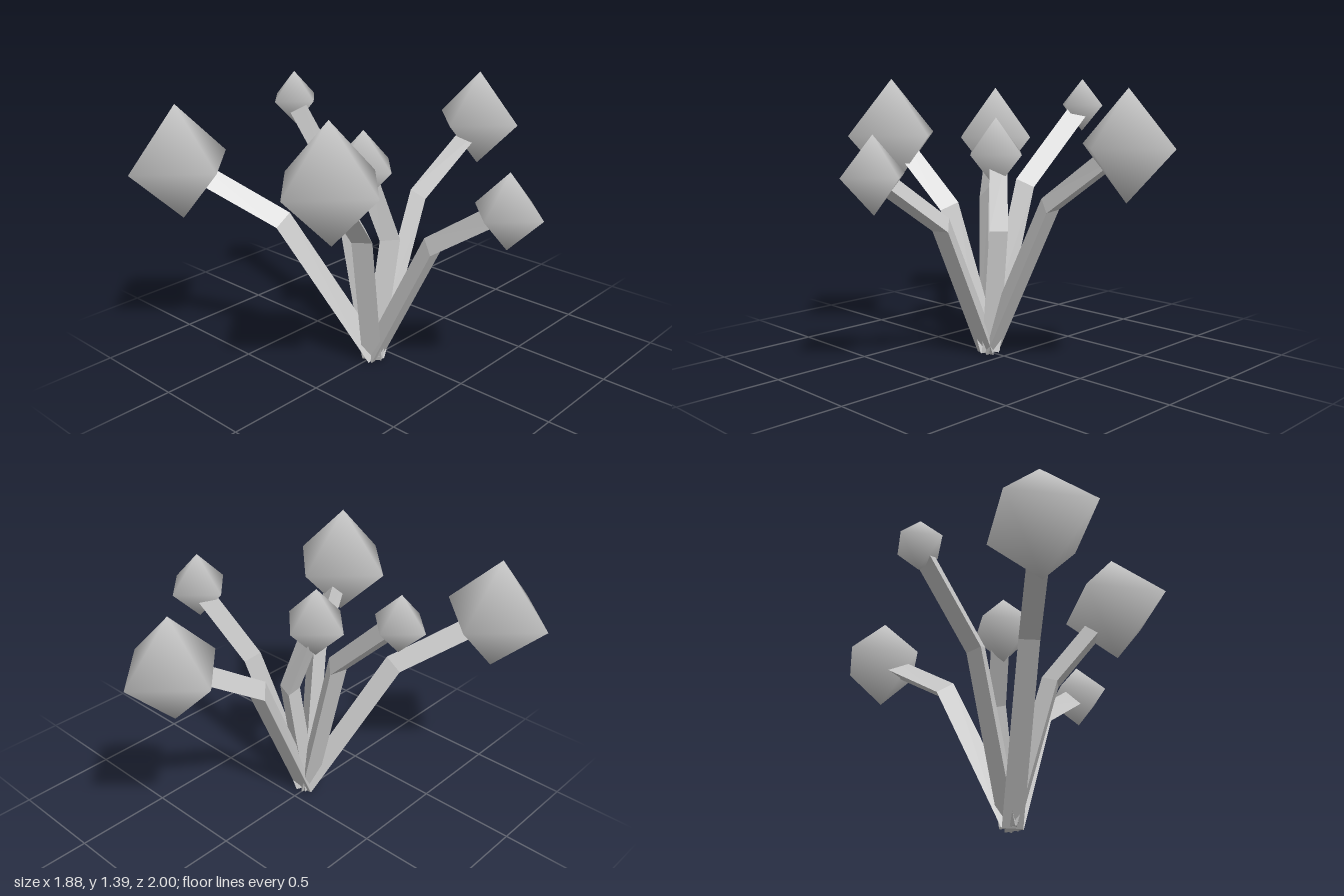
import * as THREE from 'three';

const SIDES = 3;
const STEM_RADIUS = 0.058;
const BASE = [0.01, 0.018, 0.1];

// One entry per branch: knee of the stem, centre and radius of the head
const BRANCHES = [
  { name: 'frontRight', knee: [-0.30, 0.77, 0.41], head: [-0.66, 1.06, 0.715], r: 0.28 },
  { name: 'frontLeft', knee: [0.115, 0.75, 0.28], head: [0.22, 1.113, 0.59], r: 0.28 },
  { name: 'back', knee: [-0.03, 0.79, -0.27], head: [0.005, 1.107, -0.75], r: 0.25 },
  { name: 'left', knee: [0.35, 0.70, 0.06], head: [0.76, 0.978, 0.055], r: 0.178 },
  { name: 'right', knee: [-0.21, 0.86, 0.06], head: [-0.608, 1.255, 0.01], r: 0.137 },
  { name: 'middle', knee: [0.045, 0.65, 0.01], head: [-0.045, 1.025, 0.1], r: 0.178 },
];

// Three-sided bent stem, ridge on its upper side
function stemGeometry(points) {
  const dirs = points.slice(1).map((p, i) => p.clone().sub(points[i]).normalize());
  const up = new THREE.Vector3(0, 1, 0);
  const ridge0 = up.clone().projectOnPlane(dirs[0]).normalize();
  const positions = [];
  points.forEach((p, i) => {
    const before = dirs[Math.max(i - 1, 0)];
    const after = dirs[Math.min(i, dirs.length - 1)];
    const t = before.clone().add(after).normalize();
    const ridge = ridge0.clone().projectOnPlane(t).normalize();
    const side = t.clone().cross(ridge);
    for (let k = 0; k < SIDES; k++) {
      const a = (k / SIDES) * Math.PI * 2;
      const v = p.clone()
        .addScaledVector(ridge, STEM_RADIUS * Math.cos(a))
        .addScaledVector(side, STEM_RADIUS * Math.sin(a));
      positions.push(v.x, Math.max(v.y, 0), v.z);
    }
  });
  const index = [0, 2, 1];
  for (let i = 0; i < points.length - 1; i++) {
    for (let k = 0; k < SIDES; k++) {
      const a = i * SIDES + k;
      const b = i * SIDES + ((k + 1) % SIDES);
      index.push(a, b, b + SIDES, a, b + SIDES, a + SIDES);
    }
  }
  const e = (points.length - 1) * SIDES;
  index.push(e, e + 1, e + 2);
  const indexed = new THREE.BufferGeometry();
  indexed.setAttribute('position', new THREE.Float32BufferAttribute(positions, 3));
  indexed.setIndex(index);
  const geometry = indexed.toNonIndexed();
  geometry.computeVertexNormals();
  return geometry;
}

export function createModel() {
  const model = new THREE.Group();
  model.name = 'branchingPlant';
  const stemMaterial = new THREE.MeshStandardMaterial({ color: 0xcccccc, flatShading: true });
  const headMaterial = new THREE.MeshStandardMaterial({ color: 0xcccccc });

  for (const { name, knee, head, r } of BRANCHES) {
    const branch = new THREE.Group();
    branch.name = name + 'Branch';

    const path = [BASE, knee, head].map((p) => new THREE.Vector3(...p));
    const stem = new THREE.Mesh(stemGeometry(path), stemMaterial);
    stem.name = name + 'Stem';

    // Smooth-shaded eight-faced head
    const bulb = new THREE.Mesh(new THREE.SphereGeometry(r, 4, 2), headMaterial);
    bulb.name = name + 'Head';
    bulb.position.set(...head);

    branch.add(stem, bulb);
    model.add(branch);
  }
  return model;
}
